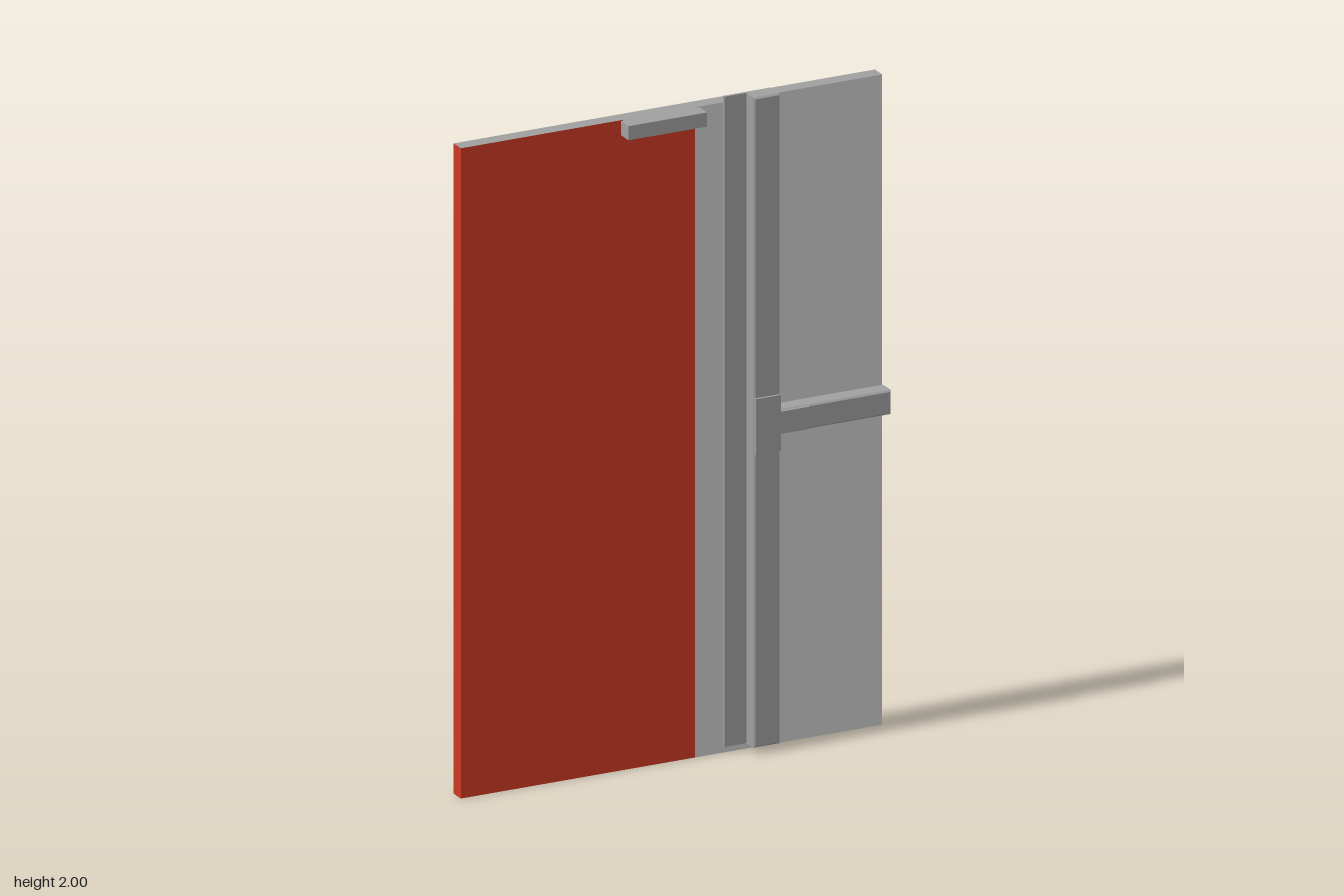
import * as THREE from 'three';

const material = (name, color) => {
  const m = new THREE.MeshStandardMaterial({ color });
  m.name = name;
  return m;
};

export function createModel() {
  const red = material('red paint', 0xcc3824);
  const pale = material('pale grey', 0xcccccc);
  const grey = material('mid grey', 0xa0a0a0);
  const model = new THREE.Group();
  model.name = 'doorPanel';

  const add = (name, geometry, mat) => {
    const mesh = new THREE.Mesh(geometry, mat);
    mesh.name = name;
    model.add(mesh);
    return mesh;
  };
  // Box given by its lower and upper corners
  const box = (name, [x0, y0, z0], [x1, y1, z1], mat) => {
    const mesh = add(name, new THREE.BoxGeometry(x1 - x0, y1 - y0, z1 - z0), mat);
    mesh.position.set((x0 + x1) / 2, (y0 + y1) / 2, (z0 + z1) / 2);
  };
  // Outline extruded from z0 to z1, with a small chamfer kept inside it
  const slab = (name, points, z0, z1, chamfer) => {
    const shape = new THREE.Shape(points.map(p => new THREE.Vector2(...p)));
    const geometry = new THREE.ExtrudeGeometry(shape, {
      depth: z1 - z0 - 2 * chamfer,
      bevelEnabled: chamfer > 0,
      bevelThickness: chamfer,
      bevelSize: chamfer,
      bevelOffset: -chamfer,
      bevelSegments: 1,
    });
    geometry.translate(0, 0, z0 + chamfer);
    add(name, geometry, grey);
  };
  // Upright with one arm towards the left edge
  const tee = (x0, x1, xEnd, y0, y1, low, high) => [
    [x0, y0], [x1, y0], [x1, low], [xEnd, low],
    [xEnd, high], [x1, high], [x1, y1], [x0, y1],
  ];

  // Panel: faces in the order +x, -x, top, bottom, front, back
  const back = -0.056, face = -0.01, seam = 0.075;
  box('redPanel', [-0.675, 0, back], [seam, 1.98, face], [pale, red, grey, grey, red, red]);
  box('palePanel', [seam, 0, back], [0.675, 1.98, face], [pale, red, grey, grey, pale, red]);

  // Block at the top edge, on a narrower neck
  box('topBlockNeck', [-0.155, 1.942, face], [0.077, 1.98, -0.004], grey);
  box('topBlock', [-0.165, 1.937, -0.004], [0.087, 1.98, 0.044], grey);

  // Flat flange behind the upright
  box('flange', [0.165, 0.02, face], [0.315, 2, -0.001], grey);

  // Upright and arm, with a thin cover over their joint
  slab('barFrame', tee(0.235, 0.32, 0.675, 0.02, 2, 0.963, 1.037), face, 0.047, 0.005);
  slab('jointCover', tee(0.238, 0.317, 0.41, 0.915, 1.085, 0.966, 1.034), 0.046, 0.055, 0);

  return model;
}
